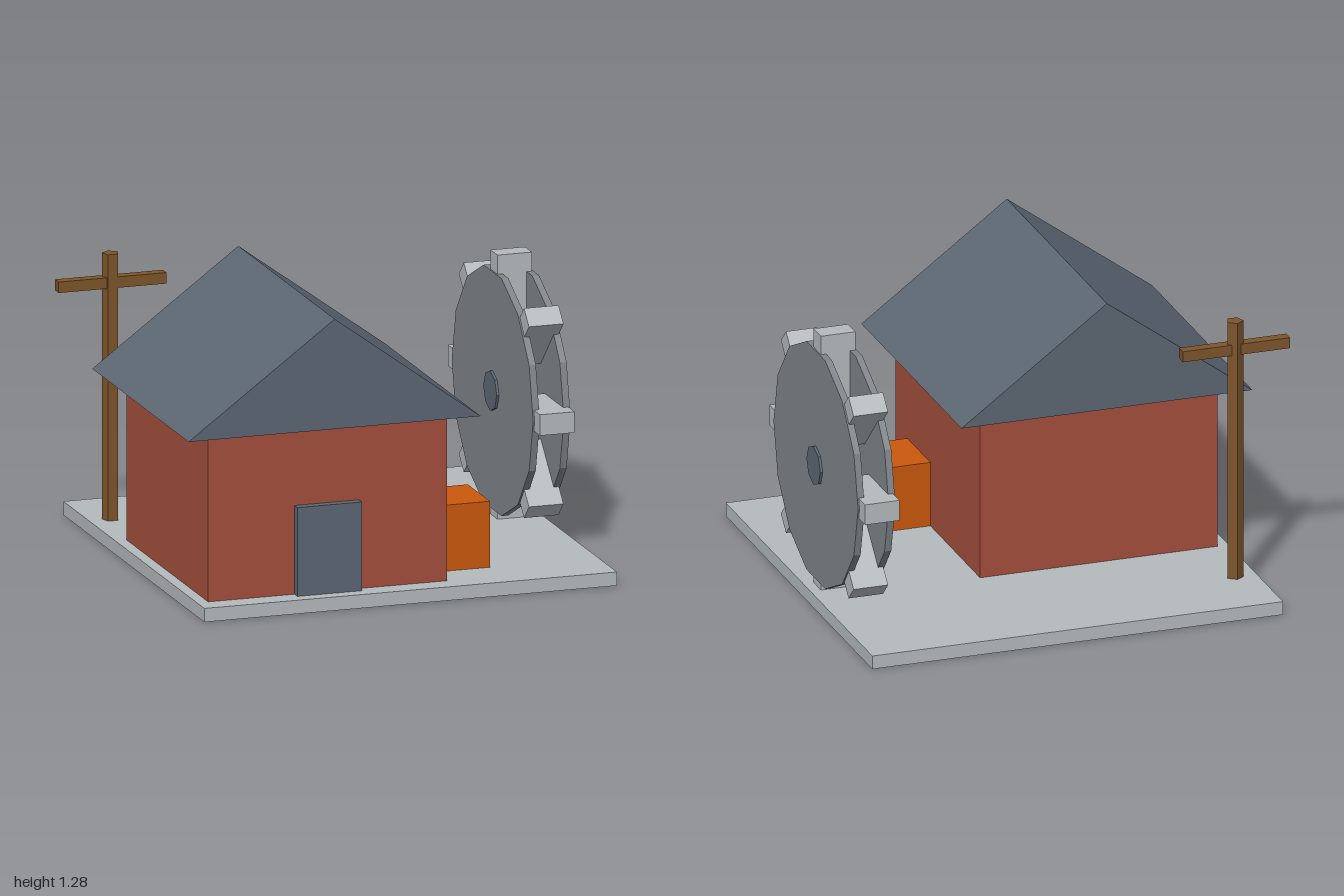
import * as THREE from 'three';

const mat = (name, color) => {
  const m = new THREE.MeshStandardMaterial({ color });
  m.name = name;
  m.flatShading = true;
  return m;
};

export function createModel() {
  const model = new THREE.Group();
  model.name = 'workshopWithWheel';

  const stone = mat('paleStone', 0xb4babd);
  const brick = mat('brickRed', 0xa44f3c);
  const slate = mat('slateBlue', 0x5c6773);
  const iron = mat('ironGrey', 0x7f858a);
  const wood = mat('woodBrown', 0x7d552b);
  const orange = mat('crateOrange', 0xcb580d);

  const add = (parent, name, geometry, material, x = 0, y = 0, z = 0) => {
    const mesh = new THREE.Mesh(geometry, material);
    mesh.name = name;
    mesh.position.set(x, y, z);
    parent.add(mesh);
    return mesh;
  };
  // Box given by its minimum and maximum corners
  const box = (name, material, [x0, y0, z0], [x1, y1, z1]) =>
    add(model, name, new THREE.BoxGeometry(x1 - x0, y1 - y0, z1 - z0), material,
      (x0 + x1) / 2, (y0 + y1) / 2, (z0 + z1) / 2);

  // Ground slab and house
  box('baseSlab', stone, [-0.855, 0, -0.927], [0.995, 0.06, 0.927]);
  box('walls', brick, [-0.805, 0.06, -0.24], [0.265, 0.8, 0.83]);
  box('door', slate, [-0.418, 0.06, 0.8], [-0.128, 0.45, 0.868]);
  box('crate', orange, [0.22, 0.06, 0.388], [0.51, 0.35, 0.68]);

  // Gabled roof prism, ridge running front to back
  const gable = new THREE.Shape([
    new THREE.Vector2(-0.925, 0.797),
    new THREE.Vector2(0.385, 0.797),
    new THREE.Vector2(-0.27, 1.28),
  ]);
  add(model, 'roof', new THREE.ExtrudeGeometry(gable, { depth: 1.267, bevelEnabled: false }),
    slate, 0, 0, -0.342);

  // Five-sided pole with a crossbar
  const pole = add(model, 'pole', new THREE.CylinderGeometry(0.038, 0.038, 1.17, 5),
    wood, -0.758, 0.645, -0.588);
  pole.rotation.y = Math.PI;
  box('crossbar', wood, [-1, 1.08, -0.611], [-0.516, 1.128, -0.563]);

  // Paddle wheel, axle along x
  const wheel = new THREE.Group();
  wheel.name = 'paddleWheel';
  wheel.position.set(0.871, 0.615, -0.1);
  model.add(wheel);

  const disc = (name, radius, width, sides, material, x) => {
    const geometry = new THREE.CylinderGeometry(radius, radius, width, sides).rotateZ(Math.PI / 2);
    add(wheel, name, geometry, material, x);
  };
  disc('leftDisc', 0.535, 0.03, 14, iron, 0.069);
  disc('rightDisc', 0.535, 0.03, 14, iron, -0.069);
  disc('hub', 0.088, 0.19, 8, slate, 0);

  // Eight radial paddles
  const paddle = new THREE.BoxGeometry(0.155, 0.325, 0.092).translate(0, 0.443, 0);
  for (let i = 0; i < 8; i++) {
    add(wheel, 'paddle' + (i + 1), paddle, stone).rotation.x = (i * Math.PI) / 4;
  }

  return model;
}
